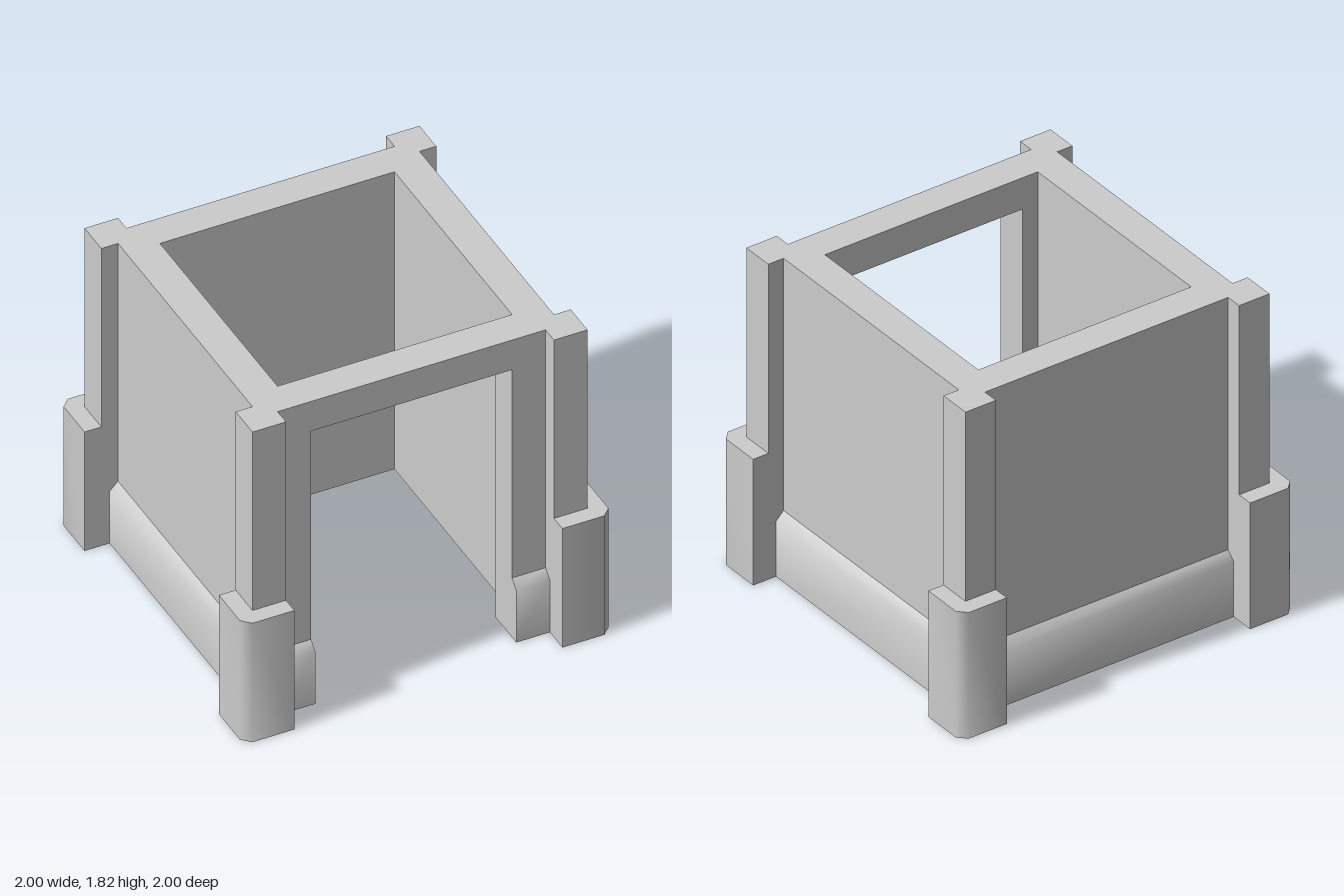
import * as THREE from 'three';
import { toCreasedNormals } from 'three/addons/utils/BufferGeometryUtils.js';

// Dimensions are in modules; 44 modules make the 2 unit width.
const U = 1 / 22;
const HEIGHT = 40;

export function createModel() {
  const model = new THREE.Group();
  model.name = 'squareTower';
  const material = new THREE.MeshStandardMaterial({ color: 0xcccccc });

  const add = (name, geometry, angle = 0) => {
    const mesh = new THREE.Mesh(geometry, material);
    mesh.name = name;
    mesh.rotation.y = angle;
    model.add(mesh);
    return mesh;
  };

  // Extrude an outline along z; chamfers are shaded softly, square edges stay sharp.
  const extrude = (points, depth) => {
    const shape = new THREE.Shape(points.map(([x, y]) => new THREE.Vector2(x * U, y * U)));
    const geometry = new THREE.ExtrudeGeometry(shape, { depth: depth * U, bevelEnabled: false });
    return toCreasedNormals(geometry, Math.PI * 0.28);
  };
  const upright = (plan, height) => extrude(plan, height).rotateX(-Math.PI / 2);

  // Walls, with a doorway in the front one
  const frontWall = extrude(
    [[-18, 0], [-12, 0], [-12, 36], [12, 36], [12, 0], [18, 0], [18, HEIGHT], [-18, HEIGHT]], 4);
  add('frontWall', frontWall.translate(0, 0, 14 * U));
  const wall = (name, width, depth, x, z) => {
    const geometry = new THREE.BoxGeometry(width * U, HEIGHT * U, depth * U);
    add(name, geometry.translate(x * U, HEIGHT / 2 * U, z * U));
  };
  wall('backWall', 36, 4, 0, -16);
  wall('leftWall', 4, 28, 16, 0);
  wall('rightWall', 4, 28, -16, 0);

  // Corner posts wrap the walls; shorter chamfered footings wrap the posts
  const post = upright([[18, 16], [20, 16], [20, 20], [16, 20], [16, 18], [18, 18]], HEIGHT);
  const footing = upright(
    [[20, 16], [22, 16], [22, 21], [21, 22], [16, 22], [16, 20], [20, 20]], 16);
  for (let i = 0; i < 4; i++) {
    add('cornerPost', post, i * Math.PI / 2);
    add('cornerFooting', footing, i * Math.PI / 2);
  }

  // Plinth with a sloped top edge, interrupted by the doorway
  const plinth = (name, from, to, angle) => {
    const geometry = extrude([[18, 0], [19, 0], [19, 7], [18, 8]], to - from);
    add(name, geometry.translate(0, 0, from * U), angle);
  };
  plinth('leftPlinth', -16, 16, 0);
  plinth('backPlinth', -16, 16, Math.PI / 2);
  plinth('rightPlinth', -16, 16, Math.PI);
  plinth('frontPlinth', -16, -12, -Math.PI / 2);
  plinth('frontPlinth', 12, 16, -Math.PI / 2);

  return model;
}
